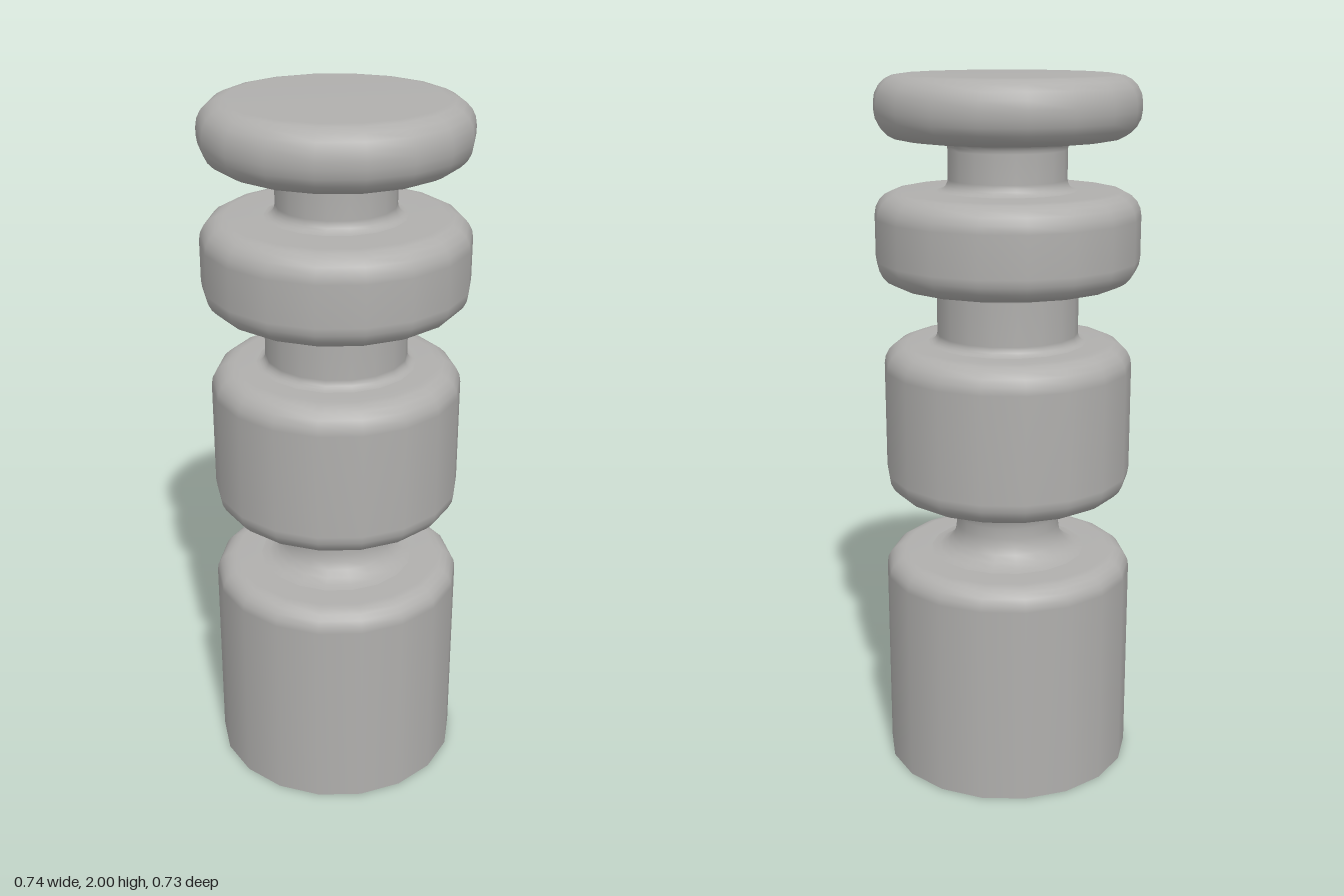
import * as THREE from 'three';

const SIDES = 18;

// Adds a quarter round to a profile; angles in quarter turns about (cx, cy).
function quarter(points, cx, cy, radius, from, to, steps = 5) {
  for (let i = 0; i <= steps; i++) {
    const a = (from + (to - from) * i / steps) * Math.PI / 2;
    points.push(new THREE.Vector2(cx + radius * Math.cos(a), cy + radius * Math.sin(a)));
  }
}

export function createModel() {
  const model = new THREE.Group();
  model.name = 'turnedPost';
  const grey = new THREE.MeshStandardMaterial({ color: 0xb0afad, side: THREE.DoubleSide });
  grey.name = 'warmGrey';

  const addTurned = (name, points) => {
    const mesh = new THREE.Mesh(new THREE.LatheGeometry(points, SIDES, Math.PI / 2), grey);
    mesh.name = name;
    model.add(mesh);
  };

  // Drum with rounded rims; inner radii are where it meets the necks.
  const drum = (name, r, y0, y1, round, innerBottom, innerTop) => {
    const points = [];
    if (innerBottom !== null) {
      points.push(new THREE.Vector2(innerBottom, y0));
      quarter(points, r - round, y0 + round, round, -1, 0);
    } else {
      points.push(new THREE.Vector2(r, y0));
    }
    quarter(points, r - round, y1 - round, round, 0, 1);
    points.push(new THREE.Vector2(innerTop, y1));
    addTurned(name, points);
  };

  // Neck with a concave fillet at each end.
  const neck = (name, r, y0, y1, fillet) => {
    const points = [];
    quarter(points, r + fillet, y0 + fillet, fillet, 3, 2);
    quarter(points, r + fillet, y1 - fillet, fillet, 2, 1);
    addTurned(name, points);
  };

  // Base is open underneath
  drum('base', 0.36, 0, 0.64, 0.06, null, 0.225);
  neck('lowerNeck', 0.15, 0.64, 0.82, 0.075);
  drum('middleDrum', 0.353, 0.82, 1.265, 0.07, 0.225, 0.225);
  neck('middleNeck', 0.2, 1.265, 1.435, 0.025);
  drum('upperDrum', 0.37, 1.435, 1.69, 0.07, 0.225, 0.195);
  neck('upperNeck', 0.165, 1.69, 1.83, 0.03);
  drum('topCap', 0.366, 1.83, 2, 0.075, 0.195, 0);

  return model;
}
